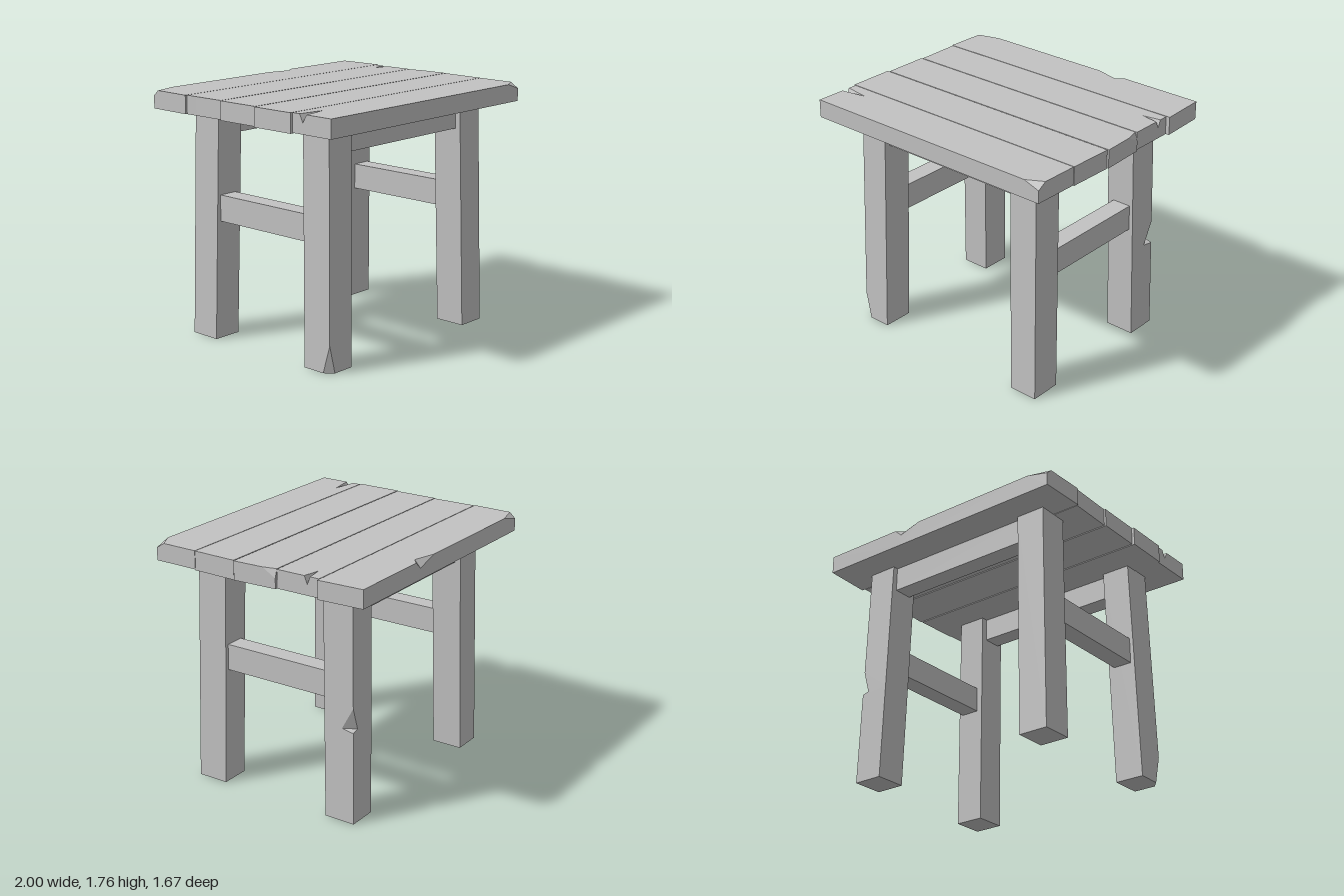
import * as THREE from 'three';
import { ConvexGeometry } from 'three/addons/geometries/ConvexGeometry.js';

const wood = new THREE.MeshStandardMaterial({ color: 0xc2c2c2 });
wood.name = 'grey wood';

// Box from min to max. Each chip cuts one corner: sign of the corner and the
// length of the cut along x, y and z. The warp moves every point afterwards.
function block(name, min, max, chips = [], warp = p => p) {
  const points = [];
  for (const sx of [-1, 1]) for (const sy of [-1, 1]) for (const sz of [-1, 1]) {
    const s = [sx, sy, sz];
    const corner = s.map((v, i) => (v > 0 ? max[i] : min[i]));
    const chip = chips.find(c => c.at.every((v, i) => v === s[i]));
    if (!chip) points.push(corner);
    else for (let i = 0; i < 3; i++) {
      const q = [...corner];
      q[i] -= s[i] * chip.cut[i];
      points.push(q);
    }
  }
  const mesh = new THREE.Mesh(
    new ConvexGeometry(points.map(p => warp(new THREE.Vector3(...p)))), wood);
  mesh.name = name;
  return mesh;
}

function assembly(name, ...parts) {
  const g = new THREE.Group();
  g.name = name;
  g.add(...parts);
  return g;
}

const Y0 = 1.63, Y1 = 1.76;

// Plank ends are slightly skewed: [back, front] x for the left and right end.
const skew = (z0, z1, left, right) => p => {
  const e = p.x < 0 ? left : right;
  p.x *= Math.abs(THREE.MathUtils.lerp(e[0], e[1], (p.z - z0) / (z1 - z0)));
  return p;
};

function seat() {
  const w1 = skew(-0.84, -0.505, [-0.98, -0.99], [0.985, 1]);
  const w2 = skew(-0.5, -0.172, [-0.98, -0.975], [0.975, 0.975]);
  const w3 = skew(-0.166, 0.16, [-0.985, -0.985], [0.985, 0.998]);
  const w4 = skew(0.167, 0.495, [-1, -1], [0.99, 0.982]);
  const w5 = skew(0.5, 0.835, [-0.985, -0.99], [0.98, 0.975]);
  return assembly('seat',
    // back plank, nicked on its back edge
    assembly('backPlank',
      block('backPlankLeft', [-1, Y0, -0.84], [0.32, Y1, -0.505], [
        { at: [-1, 1, -1], cut: [0.17, 0.04, 0.045] },
        { at: [1, 1, -1], cut: [0.17, 0.05, 0.045] }], w1),
      block('backPlankRight', [0.32, Y0, -0.84], [1, Y1, -0.505], [
        { at: [-1, 1, -1], cut: [0.055, 0.05, 0.045] }], w1)),
    // second plank, split at its right end
    assembly('secondPlank',
      block('secondPlankBack', [-1, Y0, -0.5], [1, Y1, -0.41], [
        { at: [1, 1, 1], cut: [0.13, 0.055, 0.022] }], w2),
      block('secondPlankFront', [-1, Y0, -0.41], [1, Y1, -0.172], [
        { at: [1, 1, -1], cut: [0.13, 0.055, 0.022] }], w2)),
    block('middlePlank', [-1, Y0 - 0.003, -0.166], [1, Y1, 0.16], [
      { at: [1, 1, -1], cut: [0.02, 0.06, 0.1] }], w3),
    block('fourthPlank', [-1, Y0 - 0.005, 0.167], [1, Y1, 0.495], [], w4),
    // front plank, split at its left end
    assembly('frontPlank',
      block('frontPlankBack', [-1, Y0, 0.5], [1, Y1, 0.59], [
        { at: [-1, 1, 1], cut: [0.19, 0.055, 0.028] }], w5),
      block('frontPlankFront', [-1, Y0, 0.59], [1, Y1, 0.835], [
        { at: [-1, 1, -1], cut: [0.19, 0.055, 0.033] },
        { at: [1, 1, 1], cut: [0.12, 0.04, 0.065] }], w5)));
}

// Splayed leg: a square post leaning inwards towards the top.
function leg(name, sx, sz) {
  const lean = p => {
    p.x -= sx * 0.033 * p.y / Y0;
    p.z -= sz * 0.033 * p.y / Y0;
    return p;
  };
  const x = [0.603 * sx, 0.818 * sx].sort((a, b) => a - b);
  const z = [0.432 * sz, 0.662 * sz].sort((a, b) => a - b);
  const part = (n, y0, y1, chips) =>
    block(n, [x[0], y0, z[0]], [x[1], y1, z[1]], chips, lean);

  if (sx > 0 && sz < 0) {
    // notch in the outer corner
    return assembly(name,
      part(name + 'Lower', 0, 0.68, [{ at: [1, 1, -1], cut: [0.05, 0.015, 0.09] }]),
      part(name + 'Upper', 0.68, Y0, [{ at: [1, -1, -1], cut: [0.05, 0.16, 0.09] }]));
  }
  const worn = sx < 0 && sz > 0;
  return part(name, 0, Y0, worn ? [{ at: [-1, -1, 1], cut: [0.05, 0.2, 0.06] }] : []);
}

export function createModel() {
  const model = new THREE.Group();
  model.name = 'stool';
  model.add(seat());
  for (const s of [-1, 1]) {
    const side = s > 0 ? 'left' : 'right';
    const end = s > 0 ? 'front' : 'back';
    model.add(leg(side + 'FrontLeg', s, 1), leg(side + 'BackLeg', s, -1));
    // rail under the seat and stretcher between the legs
    model.add(block(end + 'Rail', [-0.6, 1.455, s * 0.52 - 0.07], [0.6, Y0, s * 0.52 + 0.07]));
    model.add(block(side + 'Stretcher', [s * 0.7 - 0.07, 0.857, -0.44], [s * 0.7 + 0.07, 1.045, 0.44]));
  }
  return model;
}
